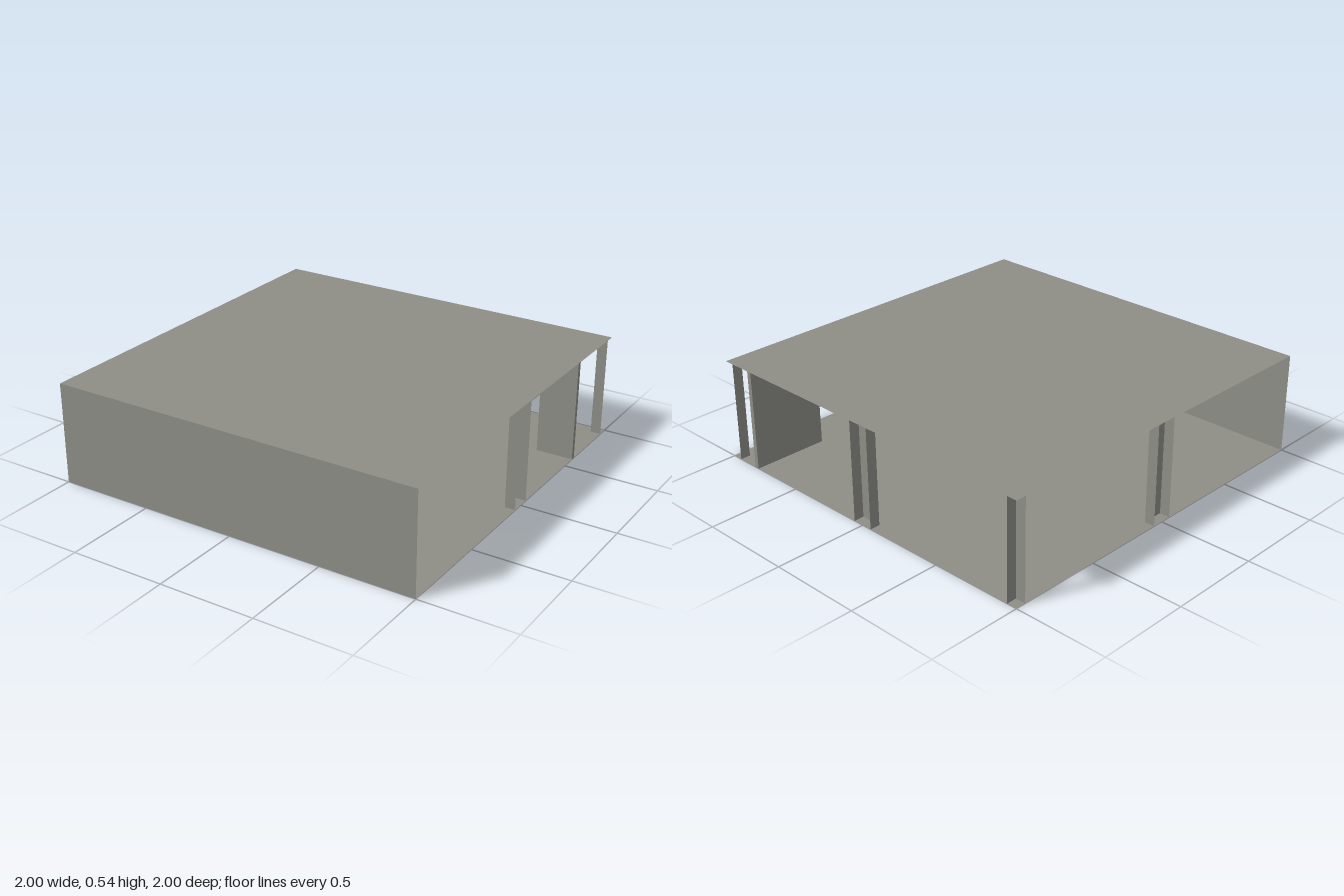
import * as THREE from 'three';

const H = 0.535; // storey height
const D = 0.055; // column recess depth

export function createModel() {
  const model = new THREE.Group();
  const concrete = new THREE.MeshStandardMaterial({ color: 0x8e8e87, side: THREE.DoubleSide });
  concrete.name = 'grey concrete';

  // Full-height thin sheets following a plan path of [x, z] points
  function sheets(name, path) {
    const group = new THREE.Group();
    group.name = name;
    for (let i = 0; i < path.length - 1; i++) {
      const [x0, z0] = path[i];
      const [x1, z1] = path[i + 1];
      const mesh = new THREE.Mesh(
        new THREE.PlaneGeometry(Math.hypot(x1 - x0, z1 - z0), H), concrete);
      mesh.name = name + 'Face';
      mesh.position.set((x0 + x1) / 2, H / 2, (z0 + z1) / 2);
      mesh.rotation.y = -Math.atan2(z1 - z0, x1 - x0);
      group.add(mesh);
    }
    model.add(group);
  }

  // Floor and roof slabs
  for (const [name, y] of [['floor', 0], ['roof', H]]) {
    const slab = new THREE.Mesh(new THREE.PlaneGeometry(2, 2).rotateX(-Math.PI / 2), concrete);
    slab.name = name;
    slab.position.y = y;
    model.add(slab);
  }

  // Closed front side
  sheets('frontWall', [[-1, 1], [1, 1]]);

  // Channel columns, open outward, at the middle of each open side
  const inner = 1 - D, a = -0.056, b = 0.058;
  for (const s of [-1, 1]) {
    sheets(s > 0 ? 'leftColumn' : 'rightColumn',
      [[s, a], [s * inner, a], [s * inner, b], [s, b]]);
    // Angle columns at the back corners
    sheets(s > 0 ? 'backLeftCornerColumn' : 'backRightCornerColumn',
      [[s * inner, -1], [s * inner, -inner], [s, -inner]]);
  }
  sheets('backColumn', [[a, -1], [a, -inner], [b, -inner], [b, -1]]);

  // L-shaped partition enclosing the back corner
  sheets('cornerPartition', [
    [0.8, -1], [0.8, -0.587], [1, -0.587], [1, -0.61],
    [0.825, -0.61], [0.825, -1], [0.8, -1],
  ]);

  return model;
}
